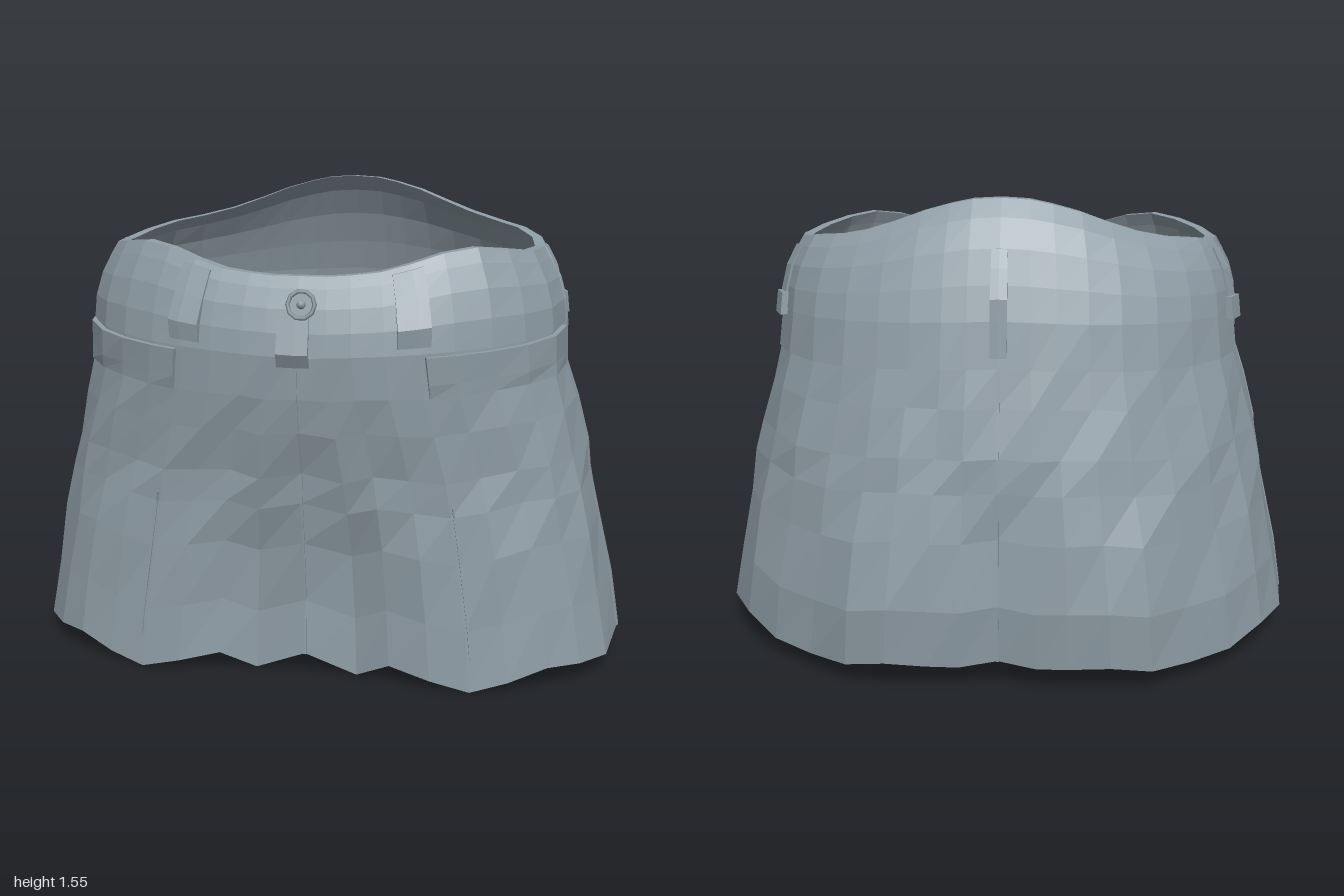
import * as THREE from 'three';

const denim = new THREE.MeshStandardMaterial({ color: 0x8f9da6 });
denim.name = 'denim';

// columns of the half garment, in degrees from the front centre to the back centre
const COLS = [0, 5, 10, 17, 25, 34, 45, 57, 72, 90, 105, 120, 133, 145, 155, 163, 170, 175, 180];
const HEM = [.07, 0, .06, .03, 0, .03, .07, .065, .055, .075, .1, .11, .07, .065, .075, .1, .09, .08, .1];
const RIM = [1.31, 1.31, 1.315, 1.325, 1.35, 1.38, 1.395, 1.385, 1.37, 1.365, 1.38, 1.4, 1.415, 1.44, 1.475, 1.51, 1.535, 1.55, 1.555];
// how far each column is pushed in (front folds) or out (seat)
const FOLD = [-.08, -.1, -.05, -.015, 0, 0, 0, 0, 0, 0, 0, 0, 0, .01, .05, .055, .03, .005, -.01];

// level: v (0 hem, 1 waistband seam, 2 rim), half width, front z, back z, widest z, fold strength, front roundness
const LEVELS = [
  [0, .998, .63, -.62, .1, 1, .71],
  [.18, .963, .62, -.64, .1, 1, .71],
  [.38, .92, .615, -.62, .11, .75, .72],
  [.52, .89, .605, -.607, .12, .25, .74],
  [.62, .868, .605, -.595, .13, .1, .76],
  [.76, .83, .63, -.565, .14, 0, .8],
  [.87, .797, .65, -.54, .15, 0, .84],
  [1, .782, .66, -.512, .16, 0, .87],
  [1.3, .775, .65, -.48, .16, 0, .87],
  [1.6, .755, .63, -.44, .15, 0, .87],
  [1.85, .725, .605, -.39, .14, 0, .87],
  [2, .705, .585, -.342, .13, 0, .87],
];

const lerp = THREE.MathUtils.lerp;

// point on the cloth at one column and height, moved outward by off
function columnPoint(i, v, off) {
  let k = 0;
  while (k < LEVELS.length - 2 && v > LEVELS[k + 1][0]) k++;
  const t = (v - LEVELS[k][0]) / (LEVELS[k + 1][0] - LEVELS[k][0]);
  const [, w, front, back, zc, fold, round] = LEVELS[k].map((n, j) => lerp(n, LEVELS[k + 1][j], t));
  const a = THREE.MathUtils.degToRad(COLS[i]);
  const isFront = COLS[i] <= 90;
  const e = isFront ? round : .85;
  const depth = isFront ? front - zc : zc - back;
  const x = w * Math.pow(Math.max(0, Math.sin(a)), e);
  const dz = Math.sign(Math.cos(a)) * depth * Math.pow(Math.abs(Math.cos(a)), e);
  const normal = new THREE.Vector2(x / (w * w), dz / (depth * depth)).normalize();
  const wrinkle = v < 1 ? .008 * Math.sin(i * 2.3 + k * 1.7) * Math.sin(v * Math.PI) : 0;
  const push = off + FOLD[i] * fold + wrinkle;
  const band = 1.07 + .13 * COLS[i] / 180;
  const y = v < 1 ? lerp(HEM[i], band, v) : lerp(band, RIM[i], v - 1);
  return new THREE.Vector3(i === 0 || i === 18 ? 0 : x + normal.x * push, y, zc + dz + normal.y * push);
}

// point on the cloth at any signed angle
function clothPoint(angle, v, off) {
  const a = angle > 180 ? angle - 360 : angle;
  const b = Math.abs(a);
  let i = 0;
  while (i < COLS.length - 2 && b > COLS[i + 1]) i++;
  const t = (b - COLS[i]) / (COLS[i + 1] - COLS[i]);
  const p = columnPoint(i, v, off).lerp(columnPoint(i + 1, v, off), t);
  if (a < 0) p.x *= -1;
  return p;
}

// faceted slab of cloth over a range of angles and heights
function cloth(name, angles, vs, inner, outer, closed = false) {
  const off = typeof outer === 'function' ? outer : () => outer;
  const rings = angles.map(a => [
    ...vs.map(v => clothPoint(a, v, off(v))),
    ...[...vs].reverse().map(v => clothPoint(a, v, inner)),
  ]);
  const pos = [];
  const quad = (a, b, c, d) => [a, b, c, a, c, d].forEach(p => pos.push(p.x, p.y, p.z));
  const n = vs.length * 2;
  for (let i = 0; i < rings.length - 1; i++) {
    for (let k = 0; k < n; k++) {
      const m = (k + 1) % n;
      quad(rings[i][k], rings[i + 1][k], rings[i + 1][m], rings[i][m]);
    }
  }
  if (!closed) {
    const s = rings[0], e = rings[rings.length - 1];
    for (let k = 0; k < vs.length - 1; k++) {
      quad(s[k], s[k + 1], s[n - 2 - k], s[n - 1 - k]);
      quad(e[k], e[n - 1 - k], e[n - 2 - k], e[k + 1]);
    }
  }
  const g = new THREE.BufferGeometry();
  g.setAttribute('position', new THREE.Float32BufferAttribute(pos, 3));
  g.computeVertexNormals();
  const mesh = new THREE.Mesh(g, denim);
  mesh.name = name;
  return mesh;
}

export function createModel() {
  const skirt = new THREE.Group();
  skirt.name = 'skirt';
  const levels = LEVELS.map(l => l[0]);
  const within = (lo, hi) => levels.filter(v => v >= lo && v <= hi);
  const around = [...COLS.slice(1).reverse().map(a => -a), ...COLS];

  // main shell and waistband
  skirt.add(cloth('skirtBody', around, within(0, 1), -.022, 0, true));
  skirt.add(cloth('waistband', around, within(1, 2), -.027, .008, true));

  // back yoke
  const back = COLS.filter(a => a >= 105);
  skirt.add(cloth('backYoke', [...back, ...back.slice(0, -1).reverse().map(a => 360 - a)],
    [.87, 1], -.005, .006));

  // centre seams
  skirt.add(cloth('frontSeam', [-.15, 0, .15], within(0, 1), -.005, .005));
  skirt.add(cloth('backSeam', [179.8, 180, 180.2], within(0, 1), -.005, .005));

  // paired parts
  for (const s of [1, -1]) {
    const side = list => (s > 0 ? list : list.map(a => -a).reverse());
    skirt.add(cloth('frontPocket', side([26.5, 34, 45, 57, 72, 86]), [.87, .91, .99], -.005,
      v => (v < .88 ? .006 : v < .95 ? .011 : .018)));
    skirt.add(cloth('sideSeam', side([88.5, 90]), levels, -.005, v => (v < 1 ? .004 : .012)));
    skirt.add(cloth('frontPleatSeam', side([25.6, 26]), [.1, .18, .38, .52, .55], -.005, .004));
    skirt.add(cloth('frontBeltLoop', side([20, 25, 28]), [1.08, 1.3, 1.6, 1.94], 0,
      v => (v < 1.1 ? .015 : v < 1.4 ? .028 : .016)));
    skirt.add(cloth('sideBeltLoop', side([105, 111]), [1.22, 1.6, 1.88], 0, .016));
    skirt.add(cloth('sideLoopTab', side([104, 112]), [.98, 1.22], 0, .03));
  }

  // sagging loop at the centre back
  skirt.add(cloth('backBeltLoop', [178.7, 180, 181.3], [.9, 1, 1.2, 1.45, 1.6], .002,
    v => ({ 0.9: .012, 1: .025, 1.2: .04, 1.45: .03, 1.6: .014 })[v]));

  // fly overlap with button
  skirt.add(cloth('flyOverlap', [-3, 0, 2.2], [.97, 1.05, 1.5], 0, v => (v < 1 ? .008 : v < 1.2 ? .026 : .016)));
  const button = new THREE.Group();
  button.name = 'button';
  const disc = new THREE.Mesh(new THREE.CylinderGeometry(.038, .045, .02, 10).toNonIndexed(), denim);
  disc.geometry.computeVertexNormals();
  disc.rotation.x = Math.PI / 2;
  disc.name = 'buttonDisc';
  const rim = new THREE.Mesh(new THREE.TorusGeometry(.042, .007, 4, 10), denim);
  rim.position.z = .01;
  rim.name = 'buttonRim';
  const stud = new THREE.Mesh(new THREE.SphereGeometry(.014, 8, 5), denim);
  stud.position.z = .01;
  stud.name = 'buttonStud';
  button.add(disc, rim, stud);
  button.position.copy(clothPoint(.9, 1.66, .012));
  button.rotation.x = -.25;
  skirt.add(button);

  return skirt;
}
